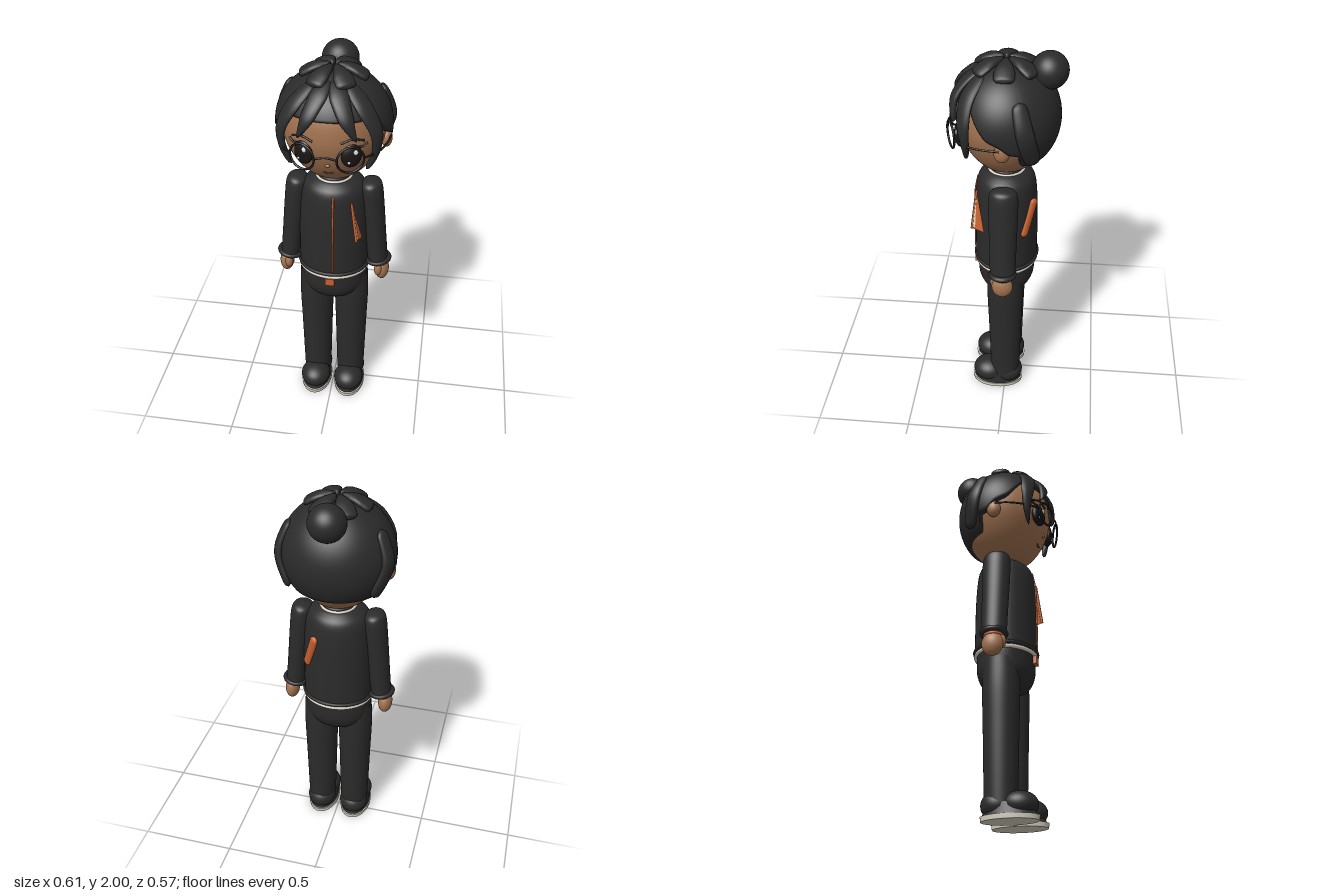
import * as THREE from 'three';

const mat = (name, color, side = THREE.FrontSide) => {
  const m = new THREE.MeshStandardMaterial({ color, side });
  m.name = name;
  return m;
};

export function createModel() {
  const root = new THREE.Group();
  root.name = 'girl';
  const charcoal = mat('charcoal', 0x2b2b2b, THREE.DoubleSide);
  const skin = mat('skin', 0xa27250);
  const orange = mat('orange', 0xc8602f, THREE.DoubleSide);
  const cream = mat('cream', 0xd8d2c2, THREE.DoubleSide);
  const eyeDark = mat('eyeDark', 0x1a1615);
  const frameBlack = mat('frameBlack', 0x1c1c1c);
  const white = mat('white', 0xf2f2f2);
  const lip = mat('lip', 0x7c4a38);

  const V = (p) => new THREE.Vector3(...p);
  const add = (name, geo, material, pos = [0, 0, 0], parent = root) => {
    const m = new THREE.Mesh(geo, material);
    m.name = name;
    m.position.set(...pos);
    parent.add(m);
    return m;
  };
  const ball = (name, material, pos, scale, parent = root) => {
    const m = add(name, new THREE.SphereGeometry(1, 32, 20), material, pos, parent);
    m.scale.set(...scale);
    return m;
  };
  // Turned part; sz flattens it front to back
  const lathe = (name, material, pts, sz = 1, parent = root) => {
    const curve = new THREE.SplineCurve(pts.map((p) => new THREE.Vector2(...p)));
    const outline = curve.getPoints(36).map((p) => new THREE.Vector2(Math.max(p.x, 0), p.y));
    return add(name, new THREE.LatheGeometry(outline, 40).scale(1, 1, sz), material, [0, 0, 0], parent);
  };
  const ring = (name, material, r, tube, pos, sz = 1, parent = root) => {
    const g = new THREE.TorusGeometry(r, tube, 10, 48).rotateX(Math.PI / 2).scale(1, 1, sz);
    return add(name, g, material, pos, parent);
  };
  const tube = (name, material, pts, r) =>
    add(name, new THREE.TubeGeometry(new THREE.CatmullRomCurve3(pts.map(V)), 24, r, 8), material);
  // Closed-around grid surface from f(i, j)
  const grid = (cols, rows, f) => {
    const pos = [], idx = [];
    for (let j = 0; j <= rows; j++) for (let i = 0; i < cols; i++) pos.push(...f(i, j));
    for (let j = 0; j < rows; j++) for (let i = 0; i < cols; i++) {
      const n = (i + 1) % cols;
      const a = j * cols + i, b = j * cols + n;
      idx.push(a, a + cols, b, b, a + cols, b + cols);
    }
    const g = new THREE.BufferGeometry();
    g.setAttribute('position', new THREE.Float32BufferAttribute(pos, 3));
    g.setIndex(idx);
    g.computeVertexNormals();
    return g;
  };
  const sample = (list, t) => {
    const k = t * (list.length - 1), i = Math.min(Math.floor(k), list.length - 2);
    return THREE.MathUtils.lerp(list[i], list[i + 1], k - i);
  };
  // Flat tapered lock of hair that lies against the head
  const headCentre = new THREE.Vector3(0, 1.68, 0);
  const lock = (name, pts, widths, thick) => {
    const curve = new THREE.CatmullRomCurve3(pts.map(V));
    const rows = 28, cols = 16;
    return add(name, grid(cols, rows, (i, j) => {
      const t = j / rows, u = (i / cols) * Math.PI * 2;
      const p = curve.getPoint(t), tan = curve.getTangent(t);
      const out = p.clone().sub(headCentre);
      out.addScaledVector(tan, -out.dot(tan)).normalize();
      const side = tan.clone().cross(out);
      const end = Math.sqrt(Math.max(0, 1 - Math.pow(Math.abs(2 * t - 1), 10)));
      p.addScaledVector(side, sample(widths, t) * end * Math.cos(u));
      p.addScaledVector(out, thick * end * Math.sin(u));
      return p.toArray();
    }), charcoal);
  };

  // Head and neck
  lathe('head', skin, [[0, 1.39], [0.06, 1.4], [0.12, 1.43], [0.175, 1.485], [0.215, 1.55], [0.242, 1.62],
    [0.25, 1.69], [0.235, 1.78], [0.18, 1.86], [0, 1.92]], 0.96);
  add('neck', new THREE.CylinderGeometry(0.06, 0.065, 0.1, 28), skin, [0, 1.385, 0]);

  // Hair cap: hairline height by angle from the front
  const hairline = [[0, 1.79], [54, 1.785], [60, 1.75], [73, 1.68], [88, 1.65], [98, 1.61], [110, 1.6], [113, 1.52], [181, 1.515]];
  const lineAt = (deg) => {
    const k = hairline.findIndex((p) => p[0] > deg);
    const [a, b] = [hairline[k - 1], hairline[k]];
    return THREE.MathUtils.mapLinear(deg, a[0], b[0], a[1], b[1]);
  };
  const cols = 96, rows = 28;
  add('hairCap', grid(cols, rows, (i, j) => {
    const a = (i / cols) * Math.PI * 2;
    const deg = Math.abs(((a * 180) / Math.PI + 180) % 360 - 180);
    const end = Math.acos((lineAt(deg) - 1.68) / 0.275);
    const phi = end * Math.min(j / (rows - 1), 1);
    const r = 0.28 * Math.sin(phi) * (j === rows ? 0.88 : 1);
    return [r * Math.sin(a), 1.68 + 0.275 * Math.cos(phi), r * Math.cos(a) * 0.93];
  }), charcoal);
  ball('hairBun', charcoal, [0, 1.912, -0.198], [0.09, 0.088, 0.088]);
  // Crown petals
  for (let k = 0; k < 6; k++) {
    const a = (k * Math.PI) / 3, c = Math.cos(a), s = Math.sin(a);
    lock('crownLock', [[0.012, 1.957], [0.08, 1.953], [0.16, 1.912]].map(([r, y]) => [r * c, y, r * s]),
      [0.008, 0.03, 0.048, 0.05], 0.02);
  }

  for (const s of [1, -1]) {
    const mx = (pts) => pts.map(([x, y, z]) => [x * s, y, z]);
    // Fringe and side locks
    lock('fringeLock', mx([[0.02, 1.93, 0.09], [0.05, 1.88, 0.175], [0.09, 1.8, 0.232], [0.135, 1.7, 0.232]]),
      [0.035, 0.045, 0.035, 0.006], 0.016);
    lock('faceLock', mx([[0.08, 1.92, 0.1], [0.165, 1.83, 0.165], [0.22, 1.72, 0.178], [0.215, 1.62, 0.172], [0.175, 1.53, 0.17]]),
      [0.04, 0.045, 0.036, 0.022, 0.004], 0.016);
    lock('sideLock', mx([[0.213, 1.85, -0.07], [0.262, 1.7, -0.108], [0.205, 1.535, -0.145]]), [0.036, 0.044, 0.04], 0.02);

    // Ear, eye and brow
    ball('ear', skin, [0.25 * s, 1.61, 0], [0.028, 0.046, 0.037]);
    const eye = new THREE.Group();
    eye.name = 'eye';
    eye.position.set(0.11 * s, 1.62, 0.21);
    eye.rotation.y = 0.4 * s;
    root.add(eye);
    ball('eyeball', eyeDark, [0, 0, 0], [0.049, 0.06, 0.024], eye);
    ball('eyeGlint', white, [0.015, 0.025, 0.021], [0.011, 0.013, 0.005], eye);
    ball('eyeGlintSmall', white, [-0.016, -0.026, 0.02], [0.007, 0.007, 0.005], eye);
    tube('eyebrow', charcoal, mx([[0.065, 1.69, 0.236], [0.115, 1.707, 0.219], [0.165, 1.69, 0.186]]), 0.005);
    tube('eyelash', charcoal, mx([[0.14, 1.668, 0.211], [0.16, 1.667, 0.2], [0.18, 1.68, 0.185]]), 0.005);

    // Glasses rim and temple
    const rim = add('glassesRim', new THREE.TorusGeometry(0.064, 0.0055, 8, 40), frameBlack, [0.111 * s, 1.62, 0.252]);
    rim.rotation.y = 0.4 * s;
    tube('glassesTemple', frameBlack, mx([[0.17, 1.625, 0.23], [0.225, 1.625, 0.17], [0.262, 1.63, 0.08], [0.273, 1.632, 0.01]]), 0.005);

    // Arm, tilted slightly outwards
    const arm = new THREE.Group();
    arm.name = 'arm';
    arm.position.set(0.185 * s, 1.33, 0);
    arm.rotation.z = 0.105 * s;
    root.add(arm);
    lathe('sleeve', charcoal, [[0.052, -0.44], [0.054, -0.3], [0.058, -0.1], [0.057, 0], [0.042, 0.034], [0, 0.048]], 1.25, arm);
    ring('cuff', charcoal, 0.058, 0.014, [0, -0.44, 0], 1, arm);
    ring('cuffLining', orange, 0.042, 0.01, [0, -0.458, 0], 1, arm);
    ball('hand', skin, [0.255 * s, 0.828, 0], [0.037, 0.062, 0.054]);
    ball('thumb', skin, [0.237 * s, 0.845, 0.042], [0.021, 0.036, 0.022]);

    // Leg and shoe
    const leg = lathe('leg', charcoal, [[0.076, 0.08], [0.079, 0.2], [0.085, 0.45], [0.09, 0.65], [0.085, 0.8]], 1.05);
    leg.position.x = 0.095 * s;
    ball('shoeToe', charcoal, [0.095 * s, 0.075, 0.09], [0.082, 0.066, 0.09]);
    ball('shoeHeel', charcoal, [0.095 * s, 0.075, -0.015], [0.079, 0.07, 0.082]);
    add('shoeBody', new THREE.CylinderGeometry(0.07, 0.083, 0.06, 36).scale(1, 1, 1.62), charcoal, [0.095 * s, 0.05, 0.042]);
    add('shoeSole', new THREE.CylinderGeometry(0.087, 0.085, 0.024, 40).scale(1, 1, 1.64), cream, [0.095 * s, 0.012, 0.043]);
  }
  tube('glassesBridge', frameBlack, [[-0.05, 1.625, 0.274], [0, 1.637, 0.279], [0.05, 1.625, 0.274]], 0.005);
  ball('nose', skin, [0, 1.556, 0.208], [0.012, 0.01, 0.012]);
  tube('mouth', lip, [[-0.024, 1.505, 0.182], [0, 1.496, 0.178], [0.024, 1.505, 0.182]], 0.0035);

  // Jacket
  lathe('jacket', charcoal, [[0.18, 0.865], [0.18, 0.95], [0.178, 1.15], [0.17, 1.28], [0.155, 1.345], [0.12, 1.378], [0.085, 1.393]], 0.89);
  ring('collar', charcoal, 0.072, 0.01, [0, 1.396, 0]);
  ring('collarTrim', cream, 0.087, 0.007, [0, 1.389, 0]);
  ring('jacketHem', charcoal, 0.18, 0.01, [0, 0.873, 0], 0.89);
  ring('hemTrim', cream, 0.174, 0.011, [0, 0.852, 0], 0.89);
  tube('zip', orange, [[0.015, 0.89, 0.161], [0.015, 1.1, 0.16], [0.015, 1.25, 0.156], [0.015, 1.34, 0.14]], 0.005);
  add('zipPull', new THREE.BoxGeometry(0.048, 0.042, 0.03), orange, [0, 0.823, 0.15]);

  // Chest pocket flap: a triangle with a light stripe
  const panel = (name, material, pts) => {
    const g = new THREE.BufferGeometry().setFromPoints(pts.map(V));
    g.setIndex(pts.length === 3 ? [0, 1, 2] : [0, 1, 2, 0, 2, 3]);
    g.computeVertexNormals();
    return add(name, g, material);
  };
  panel('pocketFlap', orange, [[0.105, 1.31, 0.138], [0.134, 1.1, 0.165], [0.156, 1.09, 0.1]]);
  panel('pocketStripe', cream, [[0.114, 1.28, 0.143], [0.139, 1.11, 0.158], [0.143, 1.11, 0.146], [0.117, 1.28, 0.138]]);
  tube('pocketEdge', orange, [[0.105, 1.31, 0.138], [0.12, 1.2, 0.151], [0.134, 1.1, 0.163]], 0.007);

  // Slanted strap on the back
  const strap = add('backStrap', new THREE.CapsuleGeometry(0.024, 0.165, 6, 16).scale(1, 1, 0.6), orange, [0.113, 1.165, -0.122]);
  const up = new THREE.Vector3(-0.06, 0.2, -0.05).normalize();
  const outward = new THREE.Vector3(0.6, 0, -0.8).addScaledVector(up, -new THREE.Vector3(0.6, 0, -0.8).dot(up)).normalize();
  strap.quaternion.setFromRotationMatrix(new THREE.Matrix4().makeBasis(up.clone().cross(outward), up, outward));

  // Trousers seat
  lathe('hips', charcoal, [[0, 0.637], [0.07, 0.65], [0.135, 0.69], [0.168, 0.745], [0.175, 0.81], [0.175, 0.86]], 0.85);
  return root;
}
